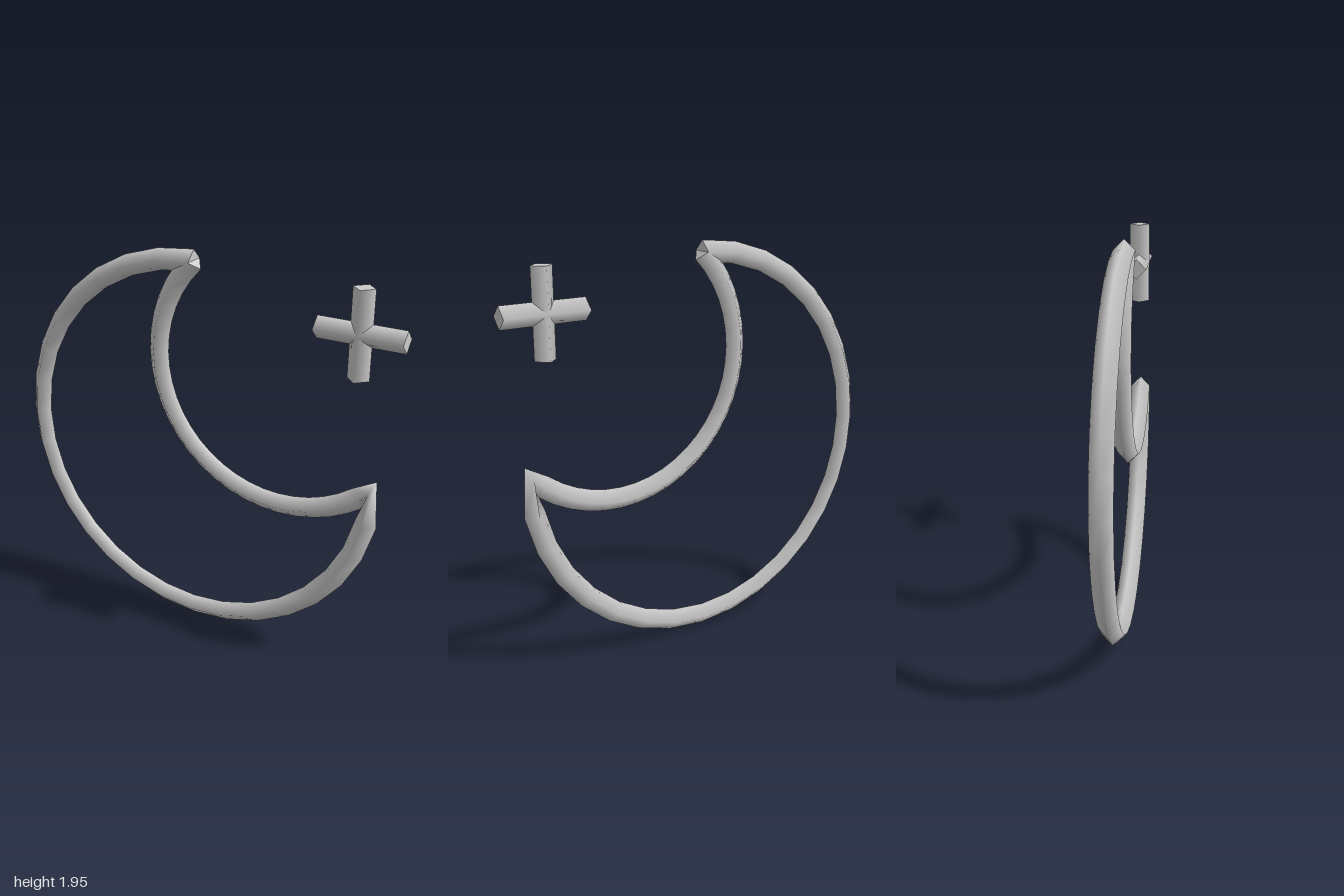
import * as THREE from 'three';

const R = 0.052; // radius of the four-sided bar

// Sweep a diamond section along a flat path, with smooth sides and flat end caps
function sweepDiamond(points) {
  const pos = [], nor = [], index = [];
  const last = points.length - 1;
  const add = (p, offset, normal) => {
    pos.push(p.x + offset.x * R, p.y + offset.y * R, offset.z * R);
    nor.push(normal.x, normal.y, normal.z);
    return pos.length / 3 - 1;
  };
  const frames = points.map(({ p, t }) => {
    const out = new THREE.Vector3(t.y, -t.x, 0);
    const front = new THREE.Vector3(0, 0, 1);
    return { p, t, ring: [out, front, out.clone().negate(), front.clone().negate()] };
  });
  frames.forEach(({ p, ring }, i) => {
    ring.forEach((o) => add(p, o, o));
    if (i === last) return;
    for (let j = 0; j < 4; j++) {
      const a = i * 4 + j, b = i * 4 + (j + 1) % 4;
      index.push(a, a + 4, b, b, a + 4, b + 4);
    }
  });
  for (const [f, s] of [[frames[0], -1], [frames[last], 1]]) {
    const n = new THREE.Vector3(f.t.x * s, f.t.y * s, 0);
    const [a, b, c, d] = f.ring.map((o) => add(f.p, o, n));
    if (s < 0) index.push(a, b, c, a, c, d);
    else index.push(a, c, b, a, d, c);
  }
  const g = new THREE.BufferGeometry();
  g.setAttribute('position', new THREE.Float32BufferAttribute(pos, 3));
  g.setAttribute('normal', new THREE.Float32BufferAttribute(nor, 3));
  g.setIndex(index);
  return g;
}

// Points and unit tangents along an arc; angles in degrees
function arc(cx, cy, radius, from, to, segments) {
  const dir = Math.sign(to - from);
  return Array.from({ length: segments + 1 }, (_, i) => {
    const a = THREE.MathUtils.degToRad(from + (to - from) * i / segments);
    return {
      p: new THREE.Vector2(cx + radius * Math.cos(a), cy + radius * Math.sin(a)),
      t: new THREE.Vector2(-Math.sin(a) * dir, Math.cos(a) * dir),
    };
  });
}

export function createModel() {
  const group = new THREE.Group();
  const grey = new THREE.MeshStandardMaterial({ color: 0xcccccc });
  grey.name = 'light grey';

  // Crescent outline: three-quarter outer arc, then a half-circle inner arc back
  const outer = arc(-0.025, 0.977, 0.924, 90, 360, 24);
  const inner = arc(0.437, 1.439, 0.6534, -45, -225, 24);
  const tip = outer[outer.length - 1];
  tip.t.add(inner[0].t).normalize(); // shared ring at the sharp lower tip
  const crescent = new THREE.Mesh(sweepDiamond([...outer, ...inner.slice(1)]), grey);
  crescent.name = 'crescentOutline';
  group.add(crescent);

  // Small cross-shaped star
  const star = new THREE.Group();
  star.name = 'star';
  star.position.set(0.795, 1.697, 0);
  for (const [name, angle] of [['starUprightBar', 0], ['starCrossBar', Math.PI / 2]]) {
    const bar = new THREE.Mesh(new THREE.CylinderGeometry(R, R, 0.41, 4), grey);
    bar.name = name;
    bar.rotation.z = angle;
    star.add(bar);
  }
  group.add(star);
  return group;
}
